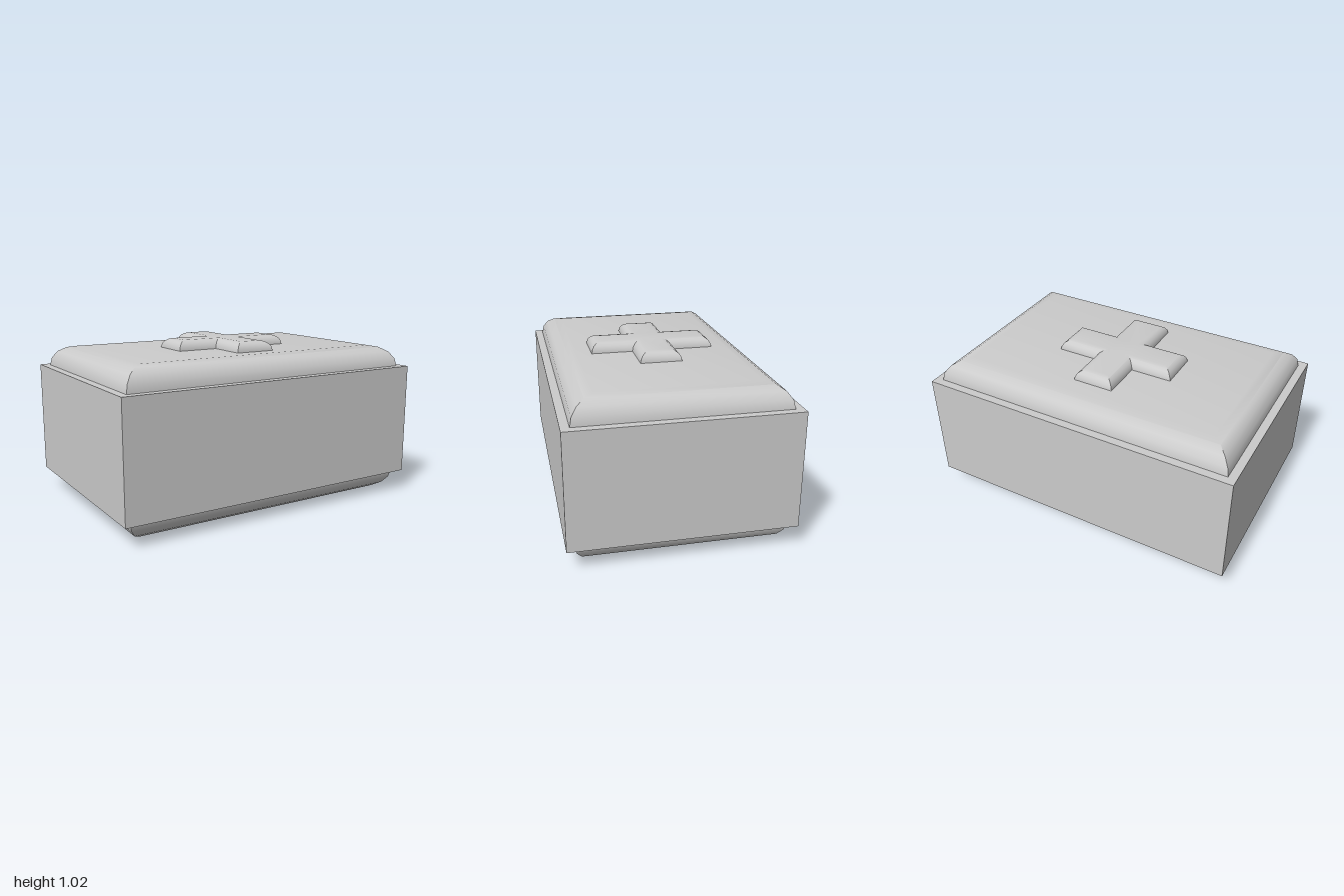
import * as THREE from 'three';
import { toCreasedNormals } from 'three/addons/utils/BufferGeometryUtils.js';

const material = new THREE.MeshStandardMaterial({ color: 0xcccccc });

// Slab with a flat outline and mitred, rounded top and bottom rims
function roundedSlab(name, outline, bottom, top, rimHeight, rimInset) {
  const shape = new THREE.Shape(outline.map(([x, y]) => new THREE.Vector2(x, y)));
  const geometry = new THREE.ExtrudeGeometry(shape, {
    depth: top - bottom - 2 * rimHeight,
    bevelThickness: rimHeight,
    bevelSize: rimInset,
    bevelOffset: -rimInset,
    bevelSegments: 4,
  });
  geometry.rotateX(-Math.PI / 2);
  geometry.translate(0, bottom + rimHeight, 0);
  const mesh = new THREE.Mesh(toCreasedNormals(geometry, 0.6), material);
  mesh.name = name;
  return mesh;
}

export function createModel() {
  const group = new THREE.Group();
  group.name = 'medicalBox';

  // Sharp-edged band around the middle
  const band = new THREE.Mesh(new THREE.BoxGeometry(2, 0.7, 1.32), material);
  band.name = 'middleBand';
  band.position.y = 0.48;
  group.add(band);

  // Inner case, showing as rounded lid and base
  const w = 0.95, d = 0.61;
  const rectangle = [[-w, -d], [w, -d], [w, d], [-w, d]];
  group.add(roundedSlab('roundedCase', rectangle, 0, 0.96, 0.13, 0.14));

  // Raised cross, its lower rim sunk into the lid
  const a = 0.126, b = 0.38;
  const cross = [
    [-a, -b], [a, -b], [a, -a], [b, -a], [b, a], [a, a],
    [a, b], [-a, b], [-a, a], [-b, a], [-b, -a], [-a, -a],
  ];
  group.add(roundedSlab('raisedCross', cross, 0.84, 1.02, 0.06, 0.06));

  return group;
}
